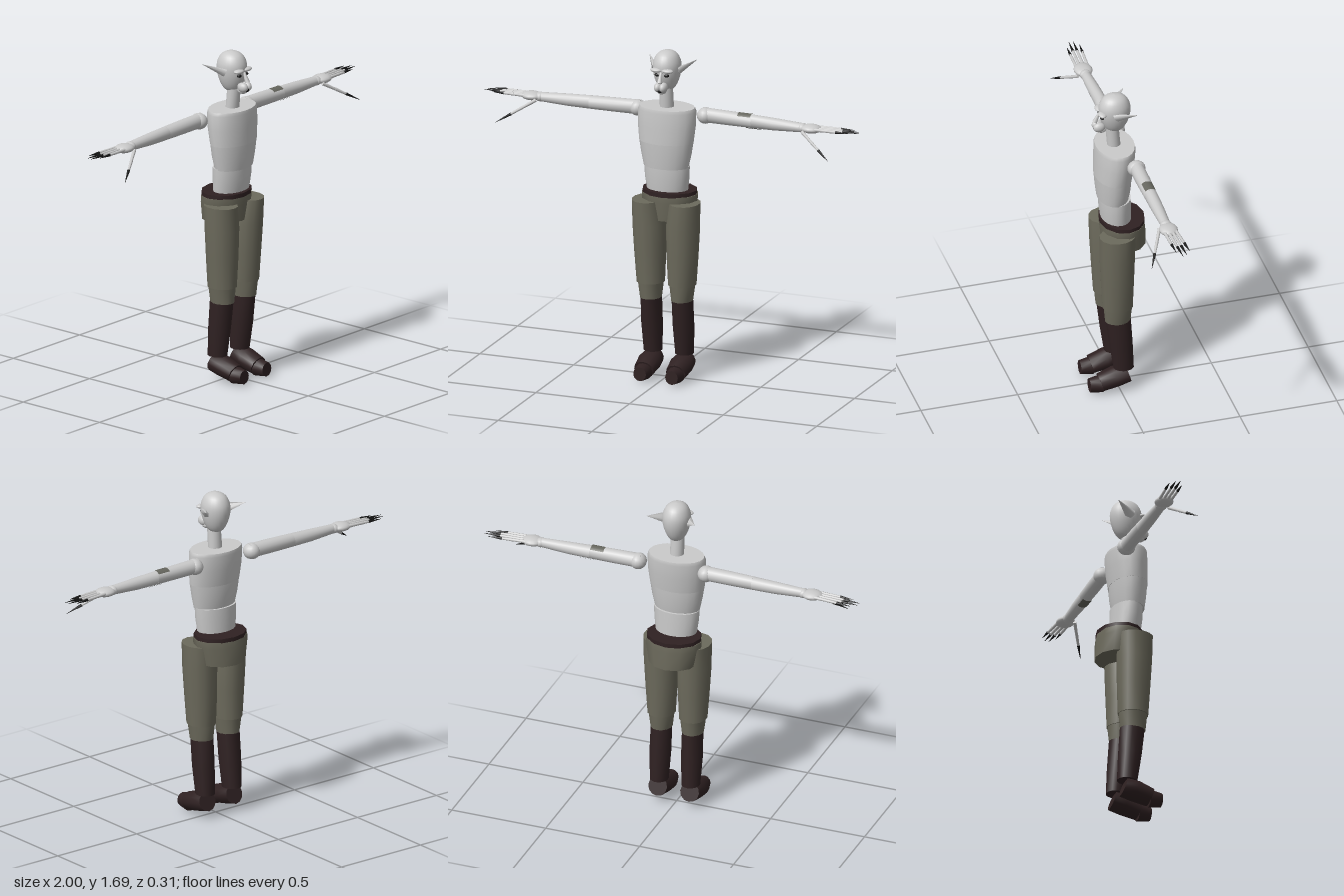
import * as THREE from 'three';

const V = (p) => new THREE.Vector3(...p);
const mat = (name, color) => new THREE.MeshStandardMaterial({ name, color });

// Capped loft: rings are [x, y, z, radiusU, radiusV]; u x v points along the loft
function loft(rings, u, v, n = 16) {
  const pos = [], idx = [];
  const U = V(u), W = V(v);
  const addRing = (r) => {
    const start = pos.length / 3;
    for (let i = 0; i < n; i++) {
      const a = (i / n) * Math.PI * 2;
      const p = V(r.slice(0, 3)).addScaledVector(U, Math.cos(a) * r[3]).addScaledVector(W, Math.sin(a) * r[4]);
      pos.push(p.x, p.y, p.z);
    }
    return start;
  };
  const starts = rings.map(addRing);
  for (let k = 0; k < rings.length - 1; k++) {
    for (let i = 0; i < n; i++) {
      const j = (i + 1) % n, a = starts[k], b = starts[k + 1];
      idx.push(a + i, a + j, b + j, a + i, b + j, b + i);
    }
  }
  const first = addRing(rings[0]), last = addRing(rings[rings.length - 1]);
  for (let i = 1; i < n - 1; i++) {
    idx.push(first, first + i + 1, first + i, last, last + i, last + i + 1);
  }
  const g = new THREE.BufferGeometry();
  g.setAttribute('position', new THREE.Float32BufferAttribute(pos, 3));
  g.setIndex(idx);
  g.computeVertexNormals();
  return g;
}
const X = [1, 0, 0], Y = [0, 1, 0], Z = [0, 0, 1];

export function createModel() {
  const model = new THREE.Group();
  model.name = 'figure';
  const skin = mat('pale skin', 0xcacaca);
  const cloth = mat('olive cloth', 0x6c6a5c);
  const leather = mat('dark leather', 0x2f2122);
  const claw = mat('claw black', 0x161616);
  const patch = mat('arm patch grey', 0x66665e);

  const add = (parent, name, geometry, material) => {
    const m = new THREE.Mesh(geometry, material);
    m.name = name;
    parent.add(m);
    return m;
  };
  const ball = (parent, name, c, r, material) => {
    const m = add(parent, name, new THREE.SphereGeometry(1, 16, 10), material);
    m.position.set(...c);
    m.scale.set(...r);
    return m;
  };
  // Tapered rod from a to b
  const rod = (parent, name, a, b, ra, rb, material, sides = 8) => {
    const d = V(b).sub(V(a));
    const m = add(parent, name, new THREE.CylinderGeometry(rb, ra, d.length(), sides), material);
    m.position.copy(V(a)).addScaledVector(d, 0.5);
    m.quaternion.setFromUnitVectors(V(Y), d.normalize());
    return m;
  };
  const upright = (parent, name, rings, material, n) => add(parent, name, loft(rings, Z, X, n), material);

  // Torso in three stacked segments (rings: x, y, z, depth radius, width radius)
  upright(model, 'belly', [[0, 0.985, -0.005, 0.075, 0.107], [0, 1.05, 0, 0.078, 0.115], [0, 1.11, 0.002, 0.078, 0.118]], skin, 20);
  upright(model, 'ribs', [[0, 1.105, 0.012, 0.076, 0.116], [0, 1.17, 0.01, 0.086, 0.13], [0, 1.238, 0.01, 0.091, 0.141]], skin, 20);
  upright(model, 'chest', [[0, 1.235, 0.01, 0.092, 0.141], [0, 1.32, 0.004, 0.098, 0.15], [0, 1.395, 0, 0.1, 0.151], [0, 1.412, 0, 0.097, 0.143]], skin, 20);
  upright(model, 'neck', [[0, 1.4, 0.003, 0.034, 0.036], [0, 1.52, 0.014, 0.034, 0.034]], skin, 14);

  // Belt and hip wrap
  upright(model, 'hipWrap', [[0, 0.83, -0.045, 0.112, 0.125], [0, 0.925, -0.038, 0.115, 0.145], [0, 0.958, -0.036, 0.113, 0.146]], cloth, 12);
  upright(model, 'belt', [[0, 0.956, -0.036, 0.114, 0.142], [0, 0.977, -0.036, 0.114, 0.141]], leather, 12);

  // Head
  const head = new THREE.Group();
  head.name = 'head';
  model.add(head);
  const profile = [[0, 1.495], [0.03, 1.502], [0.05, 1.53], [0.064, 1.57], [0.07, 1.61], [0.067, 1.645], [0.052, 1.678], [0.028, 1.696], [0, 1.702]];
  const curve = new THREE.SplineCurve(profile.map((p) => new THREE.Vector2(...p)));
  const points = curve.getPoints(24);
  points.forEach((p) => { p.x = Math.max(0, p.x); });
  add(head, 'skull', new THREE.LatheGeometry(points, 24), skin).scale.z = 1.15;
  rod(head, 'nose', [0, 1.605, 0.08], [0, 1.557, 0.102], 0.006, 0.013, skin);
  ball(head, 'chin', [0, 1.51, 0.07], [0.024, 0.018, 0.028], skin);
  ball(head, 'mouth', [0, 1.517, 0.095], [0.014, 0.012, 0.015], claw);

  for (const s of [1, -1]) {
    const side = s > 0 ? 'left' : 'right';
    const half = new THREE.Group();
    half.name = side + 'Side';
    half.scale.x = s;
    model.add(half);

    // Face details and pointed ear
    ball(half, side + 'Muzzle', [0.014, 1.53, 0.083], [0.02, 0.025, 0.031], skin);
    ball(half, side + 'Brow', [0.03, 1.614, 0.072], [0.031, 0.011, 0.021], skin);
    ball(half, side + 'Eye', [0.025, 1.59, 0.07], [0.013, 0.009, 0.011], claw);
    rod(half, side + 'Ear', [0.058, 1.6, 0.008], [0.127, 1.642, -0.082], 0.03, 0.001, skin, 6).scale.x = 0.55;

    // Arm
    ball(half, side + 'Shoulder', [0.18, 1.365, -0.06], [0.042, 0.041, 0.046], skin);
    add(half, side + 'UpperArm', loft([[0.165, 1.368, -0.06, 0.037, 0.036], [0.3, 1.366, -0.06, 0.036, 0.036], [0.432, 1.364, -0.06, 0.034, 0.033]], Y, Z), skin);
    add(half, side + 'Forearm', loft([[0.425, 1.364, -0.06, 0.034, 0.033], [0.55, 1.362, -0.06, 0.031, 0.031], [0.7, 1.362, -0.058, 0.023, 0.025]], Y, Z), skin);
    ball(half, side + 'Wrist', [0.7, 1.362, -0.058], [0.026, 0.024, 0.03], skin);
    ball(half, side + 'Palm', [0.745, 1.363, -0.058], [0.055, 0.022, 0.047], skin);

    // Clawed fingers: root z, tip z, tip x
    const fingers = [[-0.088, -0.104, 0.965], [-0.069, -0.081, 0.995], [-0.05, -0.059, 1], [-0.031, -0.036, 0.955]];
    const digit = (name, a, b) => {
      const at = (t) => V(a).lerp(V(b), t).toArray();
      rod(half, name, at(0), at(0.35), 0.009, 0.007, skin);
      rod(half, name + 'Middle', at(0.34), at(0.66), 0.008, 0.006, skin);
      rod(half, name + 'Claw', at(0.62), at(1), 0.0075, 0.0005, claw);
    };
    fingers.forEach(([z0, z1, x1], i) => digit(side + 'Finger' + (i + 1), [0.77, 1.366, z0], [x1, 1.365, z1]));
    digit(side + 'Thumb', [0.71, 1.352, -0.022], [0.888, 1.243, 0.07]);

    // Trouser leg
    upright(half, side + 'Thigh', [[0.1, 0.925, 0.013, 0.09, 0.077], [0.09, 0.8, 0.013, 0.09, 0.085], [0.086, 0.65, 0.011, 0.084, 0.08], [0.084, 0.5, 0.009, 0.077, 0.071]], cloth, 14).geometry =
      loft([[0.084, 0.5, 0.009, 0.077, 0.071], [0.086, 0.65, 0.011, 0.084, 0.08], [0.09, 0.8, 0.013, 0.09, 0.085], [0.099, 0.925, 0.013, 0.092, 0.077]], Z, X, 14);
    upright(half, side + 'Knee', [[0.083, 0.418, 0.008, 0.065, 0.054], [0.084, 0.51, 0.008, 0.074, 0.066]], cloth, 14);

    // Boot
    upright(half, side + 'BootShaft', [[0.084, 0.135, -0.022, 0.052, 0.047], [0.084, 0.28, -0.008, 0.06, 0.054], [0.083, 0.422, 0.005, 0.064, 0.053]], leather, 14);
    const tilt = [0, 0.95, 0.3];
    add(half, side + 'Foot', loft([[0.085, 0.097, -0.042, 0.05, 0.05], [0.085, 0.085, 0.02, 0.06, 0.053], [0.085, 0.062, 0.098, 0.052, 0.046]], X, tilt, 12), leather);
    add(half, side + 'Toe', loft([[0.085, 0.056, 0.09, 0.046, 0.046], [0.085, 0.054, 0.155, 0.034, 0.036]], X, Y, 12), leather);
  }

  // Worn patches above and below the left elbow
  const arc = (name, x, length, start, sweep) => {
    const g = new THREE.CylinderGeometry(0.037, 0.037, length, 8, 1, true, start, sweep);
    g.rotateZ(-Math.PI / 2);
    add(model, name, g, patch).position.set(x, 1.364, -0.06);
  };
  arc('upperElbowPatch', 0.393, 0.07, -Math.PI / 2 - 0.8, 1.6);
  arc('lowerElbowPatch', 0.445, 0.08, Math.PI / 2 - 0.7, 1.4);
  return model;
}
